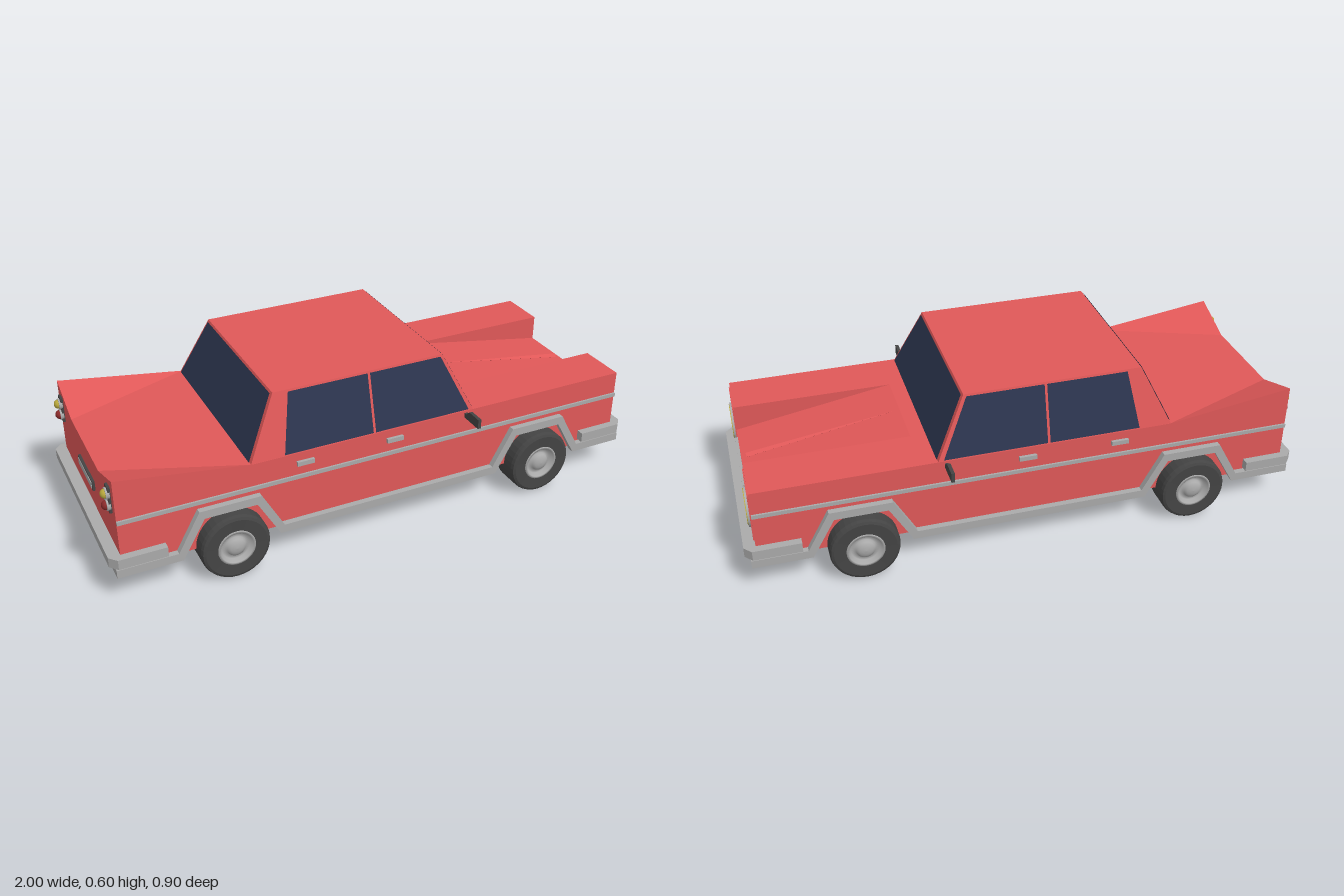
import * as THREE from 'three';

const mat = (color, opts = {}) => new THREE.MeshStandardMaterial({ color, ...opts });

export function createModel() {
  const car = new THREE.Group();
  car.name = 'sedan';
  const red = mat(0xe05858, { flatShading: true });
  const chrome = mat(0xaaaaaa);
  const glass = mat(0x2d3650, { side: THREE.DoubleSide });
  const rubber = mat(0x444444);
  const yellow = mat(0xb8a83c);
  const darkRed = mat(0x8a2a2a);

  const add = (name, geo, material, x = 0, y = 0, z = 0, parent = car) => {
    const m = new THREE.Mesh(geo, material);
    m.name = name;
    m.position.set(x, y, z);
    parent.add(m);
    return m;
  };
  const box = (name, m, w, h, d, x, y, z) => add(name, new THREE.BoxGeometry(w, h, d), m, x, y, z);
  // Flat-faced geometry from quads; corners run anticlockwise seen from outside
  const quads = (list) => {
    const pos = [];
    for (const [a, b, c, d] of list) pos.push(...a, ...b, ...c, ...a, ...c, ...d);
    const g = new THREE.BufferGeometry();
    g.setAttribute('position', new THREE.Float32BufferAttribute(pos, 3));
    g.computeVertexNormals();
    return g;
  };
  const shape = (pts) => new THREE.Shape(pts.map(([x, y]) => new THREE.Vector2(x, y)));
  const extrude = (s, depth) => new THREE.ExtrudeGeometry(s, { depth, bevelEnabled: false });

  // Lower body: sections along x as [x, fin or fender height, inner height, deck height]
  const floor = 0.12, W = 0.36, D = 0.18;
  const sections = [
    [-0.96, 0.455, 0.39, 0.39], [-0.5, 0.39, 0.39, 0.39],
    [0.39, 0.39, 0.39, 0.39], [0.96, 0.39, 0.39, 0.295],
  ].map(([x, o, i, d]) => [
    [x, floor, W], [x, o, W], [x, i, D], [x, d, D],
    [x, d, -D], [x, i, -D], [x, o, -W], [x, floor, -W],
  ]);
  const faces = [];
  for (let s = 0; s < 3; s++) {
    const A = sections[s], B = sections[s + 1];
    for (let i = 0; i < 8; i++) {
      const j = (i + 1) % 8;
      // Diagonals are mirrored so both fins fold alike
      faces.push(i < 4 ? [B[i], B[j], A[j], A[i]] : [A[i], B[i], B[j], A[j]]);
    }
  }
  const [rear, front] = [sections[0], sections[3]];
  for (let i = 1; i < 6; i++) {
    const low = (p) => [p[0], floor, p[2]];
    faces.push([front[i], low(front[i]), low(front[i + 1]), front[i + 1]]);
    faces.push([rear[i], rear[i + 1], low(rear[i + 1]), low(rear[i])]);
  }
  add('body', quads(faces), red);

  // Cabin
  const y0 = 0.388, y1 = 0.605, zTop = 0.305;
  const ring = (xa, xb, y, z) => [[xa, y, z], [xb, y, z], [xb, y, -z], [xa, y, -z]];
  const lo = ring(-0.505, 0.335, y0, W), hi = ring(-0.4, 0.23, y1, zTop);
  const cabin = [hi];
  for (let i = 0; i < 4; i++) {
    const j = (i + 1) % 4;
    cabin.push([lo[i], lo[j], hi[j], hi[i]]);
  }
  add('cabin', quads(cabin), red);

  // Windscreen and rear window
  const pane = (name, xa, xb, dir) => add(name, quads([[
    [xa, 0.392, 0.347 * dir], [xa, 0.392, -0.347 * dir],
    [xb, 0.6, -0.295 * dir], [xb, 0.6, 0.295 * dir],
  ]]), glass);
  pane('windscreen', 0.337, 0.236, 1);
  pane('rearWindow', -0.507, -0.406, -1);

  // Sills with trapezoid wheel arches
  const arches = [-0.588, 0.606];
  const path = (low, top, half, foot) => {
    const pts = [];
    for (const c of arches) pts.push([c - foot, low], [c - half, top], [c + half, top], [c + foot, low]);
    return pts;
  };
  const sill = shape([
    [-0.975, 0.105], ...path(0.105, 0.245, 0.092, 0.172), [0.975, 0.105],
    [0.975, 0.135], ...path(0.135, 0.275, 0.108, 0.186).reverse(), [-0.975, 0.135],
  ]);

  for (const s of [1, -1]) {
    const side = s > 0 ? 'left' : 'right';
    add(side + 'SillTrim', extrude(sill, 0.022), chrome, 0, 0, s > 0 ? 0.36 : -0.382);
    box(side + 'SideStrip', chrome, 1.92, 0.014, 0.01, 0, 0.3, s * 0.362);
    for (const x of [-0.313, 0.022]) box(side + 'DoorHandle', chrome, 0.062, 0.016, 0.016, x, 0.352, s * 0.363);

    // Side windows lie just proud of the sloping cabin sides
    const onSide = (x, y) => [x, y, s * (W - (W - zTop) * (y - y0) / (y1 - y0) + 0.003)];
    for (const [a, b, c, d] of [[-0.385, -0.059, -0.059, -0.348], [-0.05, 0.315, 0.221, -0.05]]) {
      add(side + 'SideWindow', quads([[onSide(a, 0.395), onSide(b, 0.395), onSide(c, 0.599), onSide(d, 0.599)]]), glass);
    }

    // Door mirror
    const mirror = shape([[0.355, 0.365], [0.45, 0.365], [0.45, 0.4], [0.39, 0.4], [0.37, 0.382], [0.355, 0.382]]);
    const mirrorMesh = add(side + 'Mirror', extrude(mirror, 0.012), rubber, s > 0 ? 0.312 : 0.3, 0, 0);
    mirrorMesh.rotation.y = -s * Math.PI / 2;

    // Headlight
    box(side + 'HeadlightPanel', red, 0.008, 0.18, 0.162, 0.96, 0.286, s * 0.27);
    const disc = (name, m, r, len, x, y, z) => {
      add(name, new THREE.CylinderGeometry(r, r, len, 32), m, x, y, z).rotation.z = Math.PI / 2;
    };
    disc(side + 'HeadlightRim', chrome, 0.07, 0.012, 0.965, 0.279, s * 0.269);
    disc(side + 'HeadlightLens', yellow, 0.062, 0.015, 0.966, 0.279, s * 0.269);

    // Tail light cluster
    box(side + 'TailLightBase', rubber, 0.012, 0.095, 0.034, -0.963, 0.368, s * 0.312);
    [[0.388, yellow], [0.345, darkRed]].forEach(([y, m]) => {
      disc(side + 'TailLightRim', chrome, 0.02, 0.012, -0.969, y, s * 0.312);
      const lens = add(side + 'TailLight', new THREE.SphereGeometry(0.016, 16, 10), m, -0.976, y, s * 0.312);
      lens.scale.x = 0.9;
    });

    // Wheels, turned around their axle
    for (const x of arches) {
      const wheel = new THREE.Group();
      wheel.name = (x > 0 ? 'front' : 'rear') + (s > 0 ? 'Left' : 'Right') + 'Wheel';
      wheel.position.set(x, 0.124, s * 0.36);
      wheel.rotation.x = s * Math.PI / 2;
      car.add(wheel);
      const lathe = (pts) => new THREE.LatheGeometry(pts.map(([r, h]) => new THREE.Vector2(r, h)), 36);
      add('tyre', lathe([[0, -0.06], [0.108, -0.06], [0.117, -0.056], [0.121, -0.045], [0.121, 0.045],
        [0.117, 0.056], [0.108, 0.06], [0.066, 0.058], [0.06, 0.04], [0, 0.04]]), mat(0x444444, { flatShading: true }), 0, 0, 0, wheel);
      add('rim', lathe([[0.066, 0.05], [0.066, 0.06], [0.058, 0.061], [0.05, 0.045], [0.036, 0.045],
        [0.032, 0.055], [0.022, 0.06], [0.012, 0.063], [0, 0.064]]), chrome, 0, 0, 0, wheel);
    }
  }

  // Bumpers: a chamfered wrap-around bar above a plain lower bar
  const bumper = shape([
    [0.81, 0.36], [0.96, 0.36], [0.96, -0.36], [0.81, -0.36], [0.81, -0.388],
    [0.975, -0.388], [1, -0.36], [1, 0.36], [0.975, 0.388], [0.81, 0.388],
  ]);
  for (const s of [1, -1]) {
    const g = extrude(bumper, 0.036).rotateX(-Math.PI / 2);
    const end = s > 0 ? 'front' : 'rear';
    add(end + 'Bumper', g, chrome, 0, 0.142, 0).rotation.y = s > 0 ? 0 : Math.PI;
    box(end + 'LowerBumper', chrome, 0.03, 0.03, 0.764, s * 0.967, 0.12, 0);
  }

  // Grille with upright slots
  const grille = shape([[-0.16, 0.2], [0.16, 0.2], [0.16, 0.276], [-0.16, 0.276]]);
  for (let i = 0; i < 12; i++) {
    const z = (i - 5.5) * 0.0245;
    grille.holes.push(new THREE.Path([[-1, 0], [-1, 1], [1, 1], [1, 0]]
      .map(([a, b]) => new THREE.Vector2(z + a * 0.0072, b ? 0.264 : 0.212))));
  }
  add('grille', extrude(grille, 0.012), chrome, 0.959, 0, 0).rotation.y = Math.PI / 2;

  // Tapering bonnet ridge with its small nose
  const ridge = add('bonnetRidge', new THREE.ConeGeometry(0.011, 0.54, 4), red, 0.675, 0.343, 0);
  ridge.rotation.z = Math.PI / 2 - Math.atan2(0.095, 0.57);

  // Number plate
  box('plateFrame', rubber, 0.012, 0.036, 0.19, -0.963, 0.28, 0);
  box('plate', chrome, 0.012, 0.024, 0.174, -0.965, 0.28, 0);

  return car;
}
